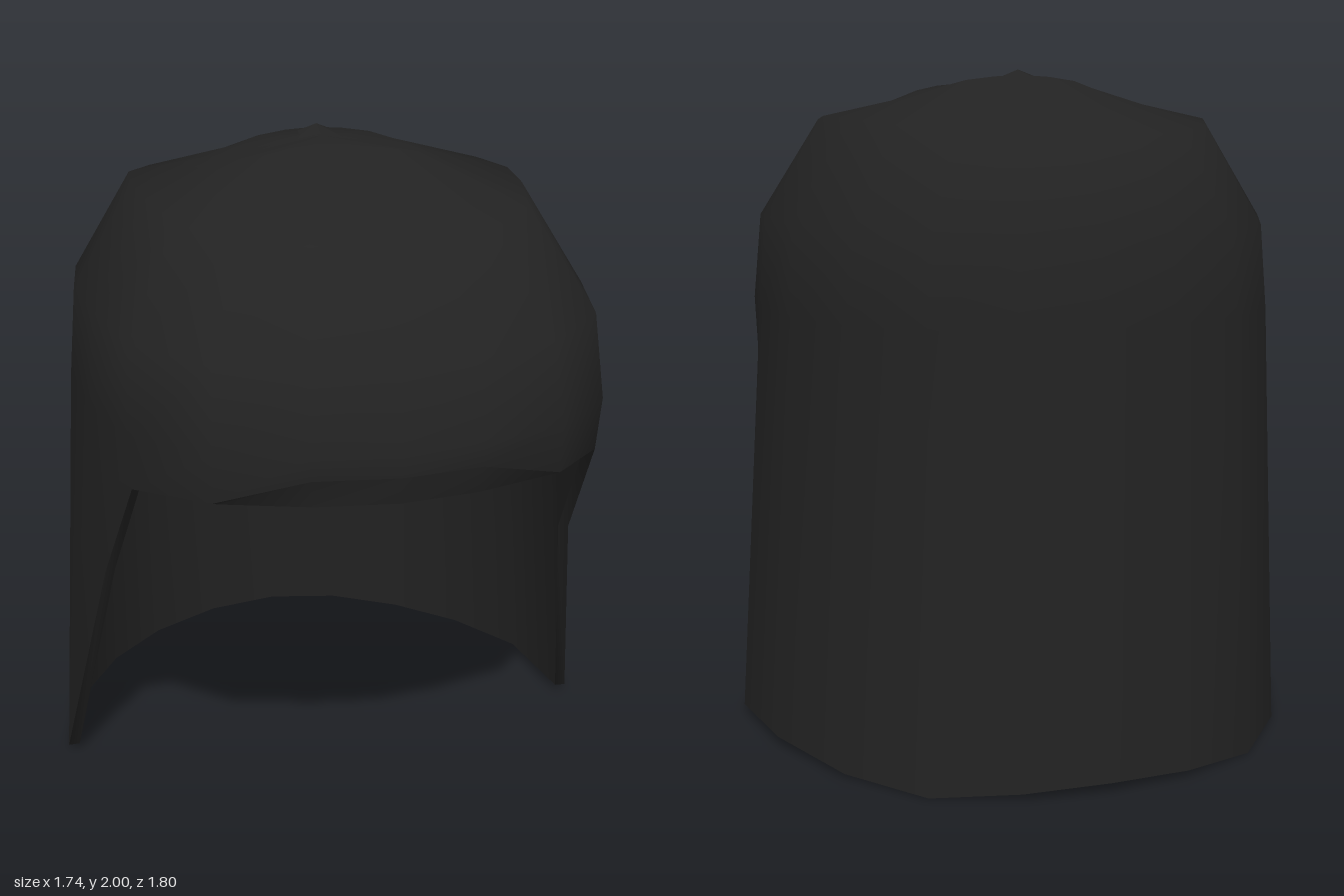
import * as THREE from 'three';

// Half outline from front centre to back centre: hem x, hem z, hem y, brow x, brow z
const HALF = [
  [0, 0.9, 1.22, 0, 0.9],
  [0.24, 0.87, 1.22, 0.24, 0.88],
  [0.49, 0.79, 1.15, 0.49, 0.8],
  [0.68, 0.59, 1.13, 0.69, 0.6],
  [0.74, 0.29, 0.75, 0.76, 0.3],
  [0.87, 0.04, 0.02, 0.79, 0.02],
  [0.82, -0.28, 0.03, 0.76, -0.27],
  [0.68, -0.56, 0.01, 0.64, -0.52],
  [0.49, -0.77, 0.0, 0.46, -0.69],
  [0.25, -0.87, 0.02, 0.23, -0.77],
  [0, -0.9, 0.03, 0, -0.8],
];
// Crown rings: x scale, z scale front / back, y at front / side / back
const RINGS = [
  [1, 1, 1, 1.29, 1.29, 1.29],
  [0.97, 0.935, 0.985, 1.51, 1.56, 1.51],
  [0.74, 0.67, 0.82, 1.78, 1.86, 1.79],
  [0.38, 0.2, 0.17, 1.96, 1.92, 1.99],
];
const COLS = 20;

function column(i) {
  const k = i % COLS;
  const s = k > 10 ? -1 : 1;
  const [hx, hz, hy, bx, bz] = HALF[k > 10 ? COLS - k : k];
  const pts = [new THREE.Vector3(s * hx, hy, hz)];
  const t = Math.min(1, Math.abs(bz) / 0.85);
  for (const [sx, zf, zb, yf, ys, yb] of RINGS) {
    const y = THREE.MathUtils.lerp(ys, bz > 0 ? yf : yb, t * t);
    pts.push(new THREE.Vector3(s * bx * sx, y, bz * (bz > 0 ? zf : zb)));
  }
  pts.push(new THREE.Vector3(0, 1.975, -0.02));
  return pts;
}

// Surface through a closed loop of columns, facing outward or inward
function loft(columns, inward = false) {
  const rows = columns[0].length;
  const n = columns.length;
  const index = [];
  for (let i = 0; i < n; i++) {
    for (let j = 0; j < rows - 1; j++) {
      const a = i * rows + j;
      const b = ((i + 1) % n) * rows + j;
      for (const [p, q, r] of [[a, b, b + 1], [a, b + 1, a + 1]]) {
        index.push(...(inward ? [p, r, q] : [p, q, r]));
      }
    }
  }
  const g = new THREE.BufferGeometry().setFromPoints(columns.flat());
  g.setIndex(index);
  g.computeVertexNormals();
  return g;
}

export function createModel() {
  const model = new THREE.Group();
  model.name = 'bobHair';
  const black = new THREE.MeshStandardMaterial({ color: 0x222222 });
  black.name = 'soft black';

  const add = (name, geometry) => {
    const mesh = new THREE.Mesh(geometry, black);
    mesh.name = name;
    model.add(mesh);
  };

  const outer = Array.from({ length: COLS }, (_, i) => column(i));
  // Lining: slightly smaller, with the fringe edge tucked down
  const inner = outer.map((pts) => pts.map((p, j) => {
    const fringe = j === 0 && p.y > 1.1;
    return new THREE.Vector3(p.x * 0.96, fringe ? 1.14 : p.y - (j > 2 ? 0.05 : 0), p.z * (fringe ? 0.98 : 0.96));
  }));
  const hem = outer.map((pts, i) => [inner[i][0], pts[0]]);

  add('outerHair', loft(outer));
  add('hairLining', loft(inner, true));
  add('hemEdge', loft(hem));

  // Small raised tuft at the crown
  const tuft = new THREE.ConeGeometry(0.13, 0.05, 7);
  tuft.translate(0, 1.975, -0.09);
  add('crownTuft', tuft);
  return model;
}
